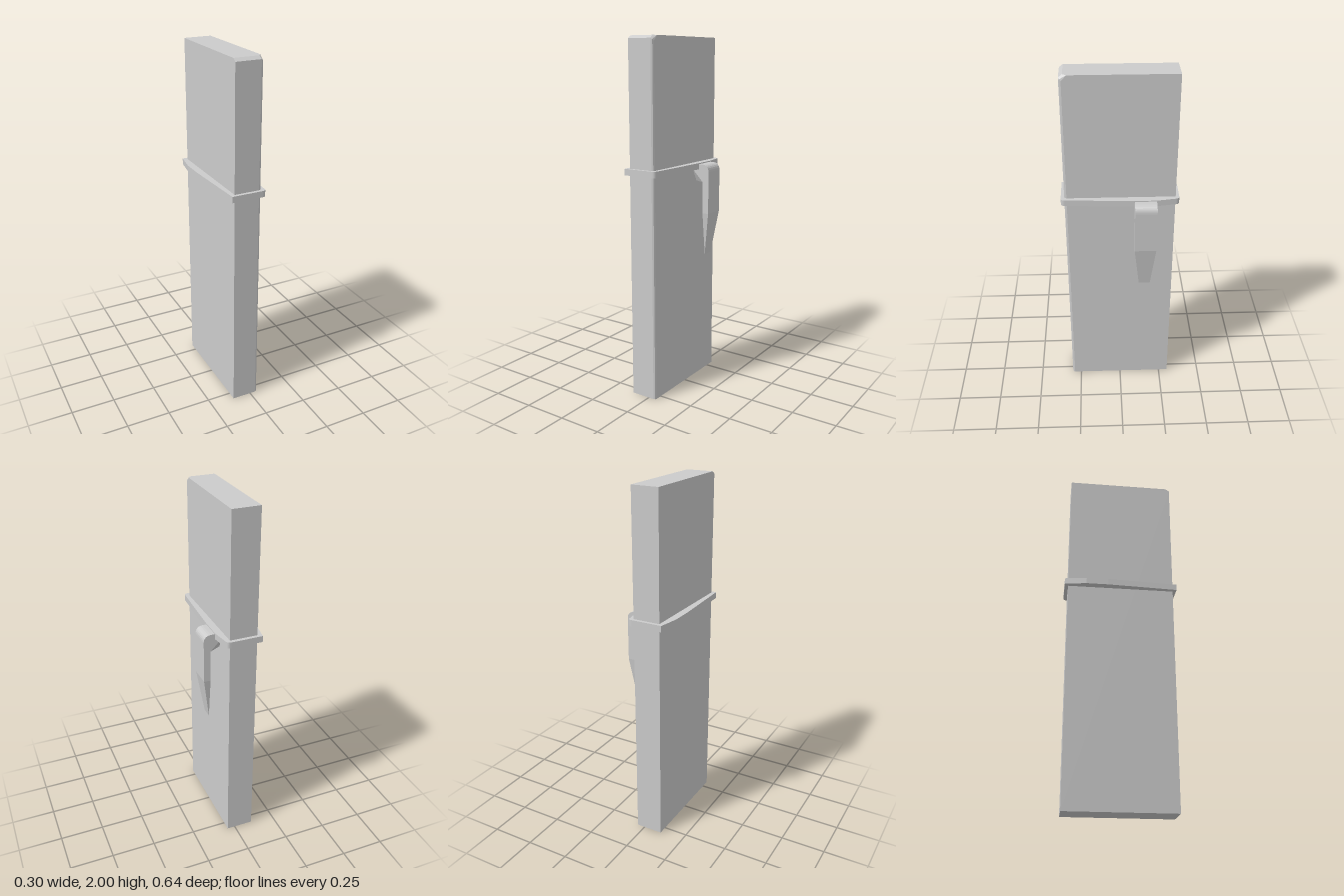
import * as THREE from 'three';
import { ConvexGeometry } from 'three/addons/geometries/ConvexGeometry.js';

const material = new THREE.MeshStandardMaterial({ color: 0xcccccc, flatShading: true });

function part(name, geometry) {
  const mesh = new THREE.Mesh(geometry, material);
  mesh.name = name;
  return mesh;
}

const hull = (points) => new ConvexGeometry(points.map((p) => new THREE.Vector3(...p)));

// Flat case with one softened vertical edge and a chamfered top front edge
function caseBody() {
  const L = -0.11, R = 0.046, D = 0.303;
  return hull([
    [L, 0, -D], [R, 0, -D], [R, 0, 0.29], [0.042, 0, 0.299], [0.033, 0, D], [L, 0, D],
    [L, 1.985, D], [0.033, 1.985, D], [0.042, 1.978, 0.299], [R, 1.97, 0.29],
    [L, 2, -D], [R, 2, -D], [R, 2, 0.262], [0.03, 2, 0.283], [L, 2, 0.283],
  ]);
}

// Thin collar around the case, drawn in plan (shape y = -z)
function collar() {
  const s = new THREE.Shape();
  s.moveTo(-0.132, -0.322);
  s.lineTo(0.046, -0.322);
  s.quadraticCurveTo(0.066, -0.322, 0.068, -0.3);
  s.lineTo(0.087, 0.075);
  s.lineTo(0.087, 0.2);
  s.lineTo(0.07, 0.305);
  s.quadraticCurveTo(0.066, 0.323, 0.047, 0.323);
  s.lineTo(-0.132, 0.323);
  s.lineTo(-0.152, 0.2);
  s.lineTo(-0.152, 0.075);
  s.closePath();
  const g = new THREE.ExtrudeGeometry(s, { depth: 0.035, bevelEnabled: false, curveSegments: 6 });
  return g.rotateX(-Math.PI / 2).translate(0, 1.272, 0);
}

// Hooked clip, extruded across z and narrowed towards its tip
function clip() {
  const s = new THREE.Shape();
  s.moveTo(0.04, 1.275);
  s.lineTo(0.112, 1.2);
  s.lineTo(0.112, 1.02);
  s.lineTo(0.112, 0.77);
  s.lineTo(0.15, 1.02);
  s.lineTo(0.15, 1.26);
  s.bezierCurveTo(0.15, 1.285, 0.135, 1.301, 0.11, 1.301);
  s.lineTo(0.04, 1.301);
  s.closePath();
  const g = new THREE.ExtrudeGeometry(s, { depth: 0.12, bevelEnabled: false, curveSegments: 6 });
  g.translate(0, 0, -0.06);
  const p = g.attributes.position;
  for (let i = 0; i < p.count; i++) {
    const t = Math.max(0, (1.02 - p.getY(i)) / 0.25);
    p.setZ(i, p.getZ(i) * (1 - 0.47 * t));
  }
  g.computeVertexNormals();
  return g;
}

// Brace under the hook, narrowing where it meets the case
function brace() {
  const points = [];
  for (const side of [-1, 1]) {
    points.push([0.04, 1.275, side * 0.06], [0.113, 1.275, side * 0.06],
      [0.113, 1.2, side * 0.06], [0.04, 1.2, side * 0.02]);
  }
  return hull(points);
}

export function createModel() {
  const model = new THREE.Group();
  model.name = 'clippedCase';
  const clipGroup = new THREE.Group();
  clipGroup.name = 'clipAssembly';
  clipGroup.add(part('clip', clip()), part('clipBrace', brace()));
  clipGroup.position.z = -0.138;
  model.add(part('caseBody', caseBody()), part('collar', collar()), clipGroup);
  return model;
}
